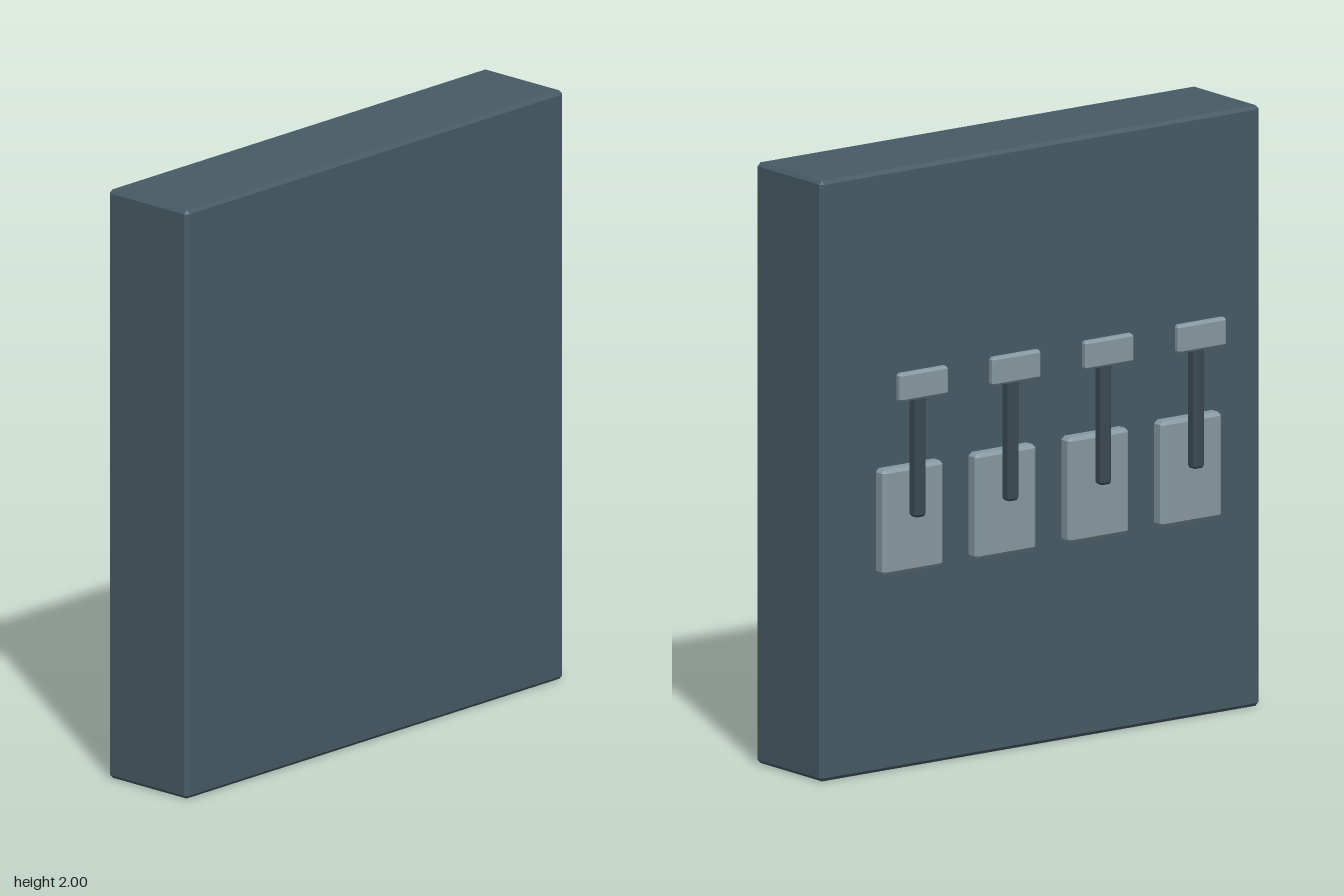
import * as THREE from 'three';
import { ConvexGeometry } from 'three/addons/geometries/ConvexGeometry.js';

function material(name, color) {
  const m = new THREE.MeshStandardMaterial({ color });
  m.name = name;
  return m;
}

// Box with all edges cut by a flat bevel c
function bevelBox(w, h, d, c) {
  const half = [w / 2, h / 2, d / 2];
  const points = [];
  for (const sx of [-1, 1]) for (const sy of [-1, 1]) for (const sz of [-1, 1]) {
    for (let face = 0; face < 3; face++) {
      const p = half.map((v, axis) => (axis === face ? v : v - c));
      points.push(new THREE.Vector3(sx * p[0], sy * p[1], sz * p[2]));
    }
  }
  return new ConvexGeometry(points);
}

function part(name, mat, size, bevel, position) {
  const mesh = new THREE.Mesh(bevelBox(...size, bevel), mat);
  mesh.name = name;
  mesh.position.set(...position);
  return mesh;
}

export function createModel() {
  const model = new THREE.Group();
  model.name = 'leverPanel';
  const slate = material('slate', 0x465a64);
  const darkSteel = material('dark steel', 0x3a4a52);
  const paleSteel = material('pale steel', 0x8599a0);

  // Main slab
  model.add(part('panel', slate, [1.79, 2, 0.352], 0.012, [0, 1, 0.062]));

  // Row of four levers on the back
  for (let i = 0; i < 4; i++) {
    const lever = new THREE.Group();
    lever.name = 'lever' + (i + 1);
    lever.position.x = (i - 1.5) * 0.378;
    lever.add(
      part('basePlate', paleSteel, [0.248, 0.352, 0.056], 0.012, [0, 0.845, -0.154]),
      part('leverArm', darkSteel, [0.045, 0.436, 0.042], 0.008, [0, 1.074, -0.199]),
      part('handle', paleSteel, [0.198, 0.095, 0.031], 0.008, [0, 1.302, -0.223]),
    );
    model.add(lever);
  }
  return model;
}
